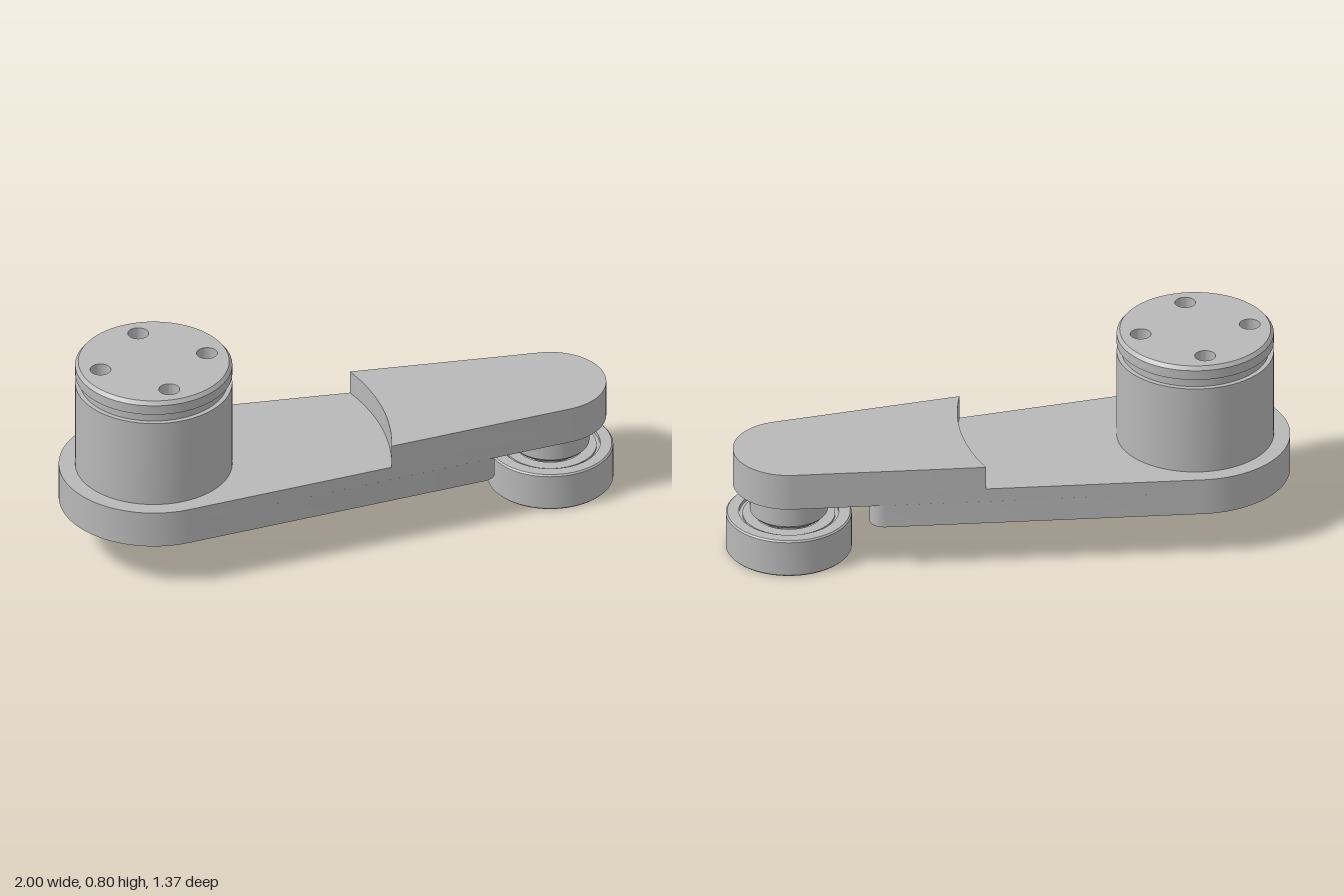
import * as THREE from 'three';
import { toCreasedNormals } from 'three/addons/utils/BufferGeometryUtils.js';

const L = 1.586;                 // distance between the two pivots
const R = 0.365, r = 0.215;      // arm end radii
const PHI = Math.PI / 2 - Math.asin((R - r) / L); // angle of the tangent points

export function createModel() {
  const model = new THREE.Group();
  model.name = 'tensionerArm';
  // Local x runs along the arm, origin at the post
  model.position.set(-0.635, 0, -0.32);
  model.rotation.y = -0.4998;
  const grey = new THREE.MeshStandardMaterial({ color: 0xb8b8b8 });
  grey.name = 'plainGrey';

  function add(name, geometry, x = 0, y = 0) {
    const mesh = new THREE.Mesh(toCreasedNormals(geometry, 0.45), grey);
    mesh.name = name;
    mesh.position.set(x, y, 0);
    model.add(mesh);
  }
  function slab(shape, height) {
    const g = new THREE.ExtrudeGeometry(shape, { depth: height, bevelEnabled: false, curveSegments: 32 });
    return g.rotateX(-Math.PI / 2);
  }
  const lathe = (points) => new THREE.LatheGeometry(points.map(([a, b]) => new THREE.Vector2(a, b)), 64);

  // Lower arm layer: filleted end hollowed around the roller, tapered pocket below
  const lower = new THREE.Shape();
  const f = 0.057, fu = 1.248, fv = 0.191, d = 0.514;
  lower.absarc(0, 0, R, PHI, 2 * Math.PI - PHI, false);
  lower.absarc(fu, -fv, f, -PHI, d, false);
  lower.absarc(L, 0, 0.331, Math.PI + d, Math.PI - d, true);
  lower.absarc(fu, fv, f, -d, PHI, false);
  lower.closePath();
  lower.holes.push(new THREE.Path([[0.46, -0.13], [0.46, 0.13], [1.14, 0.075], [1.14, -0.075]]
    .map(([a, b]) => new THREE.Vector2(a, b))));
  add('lowerArm', slab(lower, 0.095), 0, 0.185);

  // Middle layer: full arm outline
  const full = new THREE.Shape();
  full.absarc(0, 0, R, PHI, 2 * Math.PI - PHI, false);
  full.absarc(L, 0, r, -PHI, PHI, false);
  full.closePath();
  add('middleArm', slab(full, 0.055), 0, 0.28);

  // Raised end with a step curved about the post
  const step = 0.913, b = PHI - Math.acos(R / step);
  const raised = new THREE.Shape();
  raised.absarc(L, 0, r, -PHI, PHI, false);
  raised.absarc(0, 0, step, b, -b, true);
  raised.closePath();
  add('raisedEnd', slab(raised, 0.095), 0, 0.335);

  // Post with a groove, chamfered collar and four blind holes
  add('post', new THREE.CylinderGeometry(0.302, 0.302, 0.365, 64), 0, 0.5175);
  add('postCollar', lathe([[0.283, 0.7], [0.283, 0.74], [0.302, 0.74], [0.302, 0.78], [0.29, 0.795], [0.28, 0.795]]));
  const disc = new THREE.Shape();
  disc.absarc(0, 0, 0.28, 0, 2 * Math.PI, false);
  for (let i = 0; i < 4; i++) {
    const a = i * Math.PI / 2;
    const hole = new THREE.Path();
    hole.absarc(0.213 * Math.cos(a), 0.213 * Math.sin(a), 0.04, 0, 2 * Math.PI, true);
    disc.holes.push(hole);
  }
  add('postTop', slab(disc, 0.095), 0, 0.7);

  // Hub between the raised end and the roller
  add('rollerHub', lathe([[0, 0.155], [0.138, 0.155], [0.15, 0.168], [0.15, 0.28]]), L);

  // Ball bearing roller: bevelled outer race, recessed shields, bored inner race
  add('roller', lathe([
    [0.065, 0], [0.118, 0], [0.118, 0.015], [0.132, 0.015], [0.132, 0.008], [0.178, 0.008],
    [0.178, 0.015], [0.192, 0.015], [0.192, 0], [0.236, 0], [0.242, 0.006],
    [0.242, 0.149], [0.236, 0.155], [0.192, 0.155], [0.192, 0.14], [0.178, 0.14],
    [0.178, 0.147], [0.132, 0.147], [0.132, 0.14], [0.118, 0.14], [0.118, 0.155],
    [0.065, 0.155], [0.065, 0],
  ]), L);

  return model;
}
